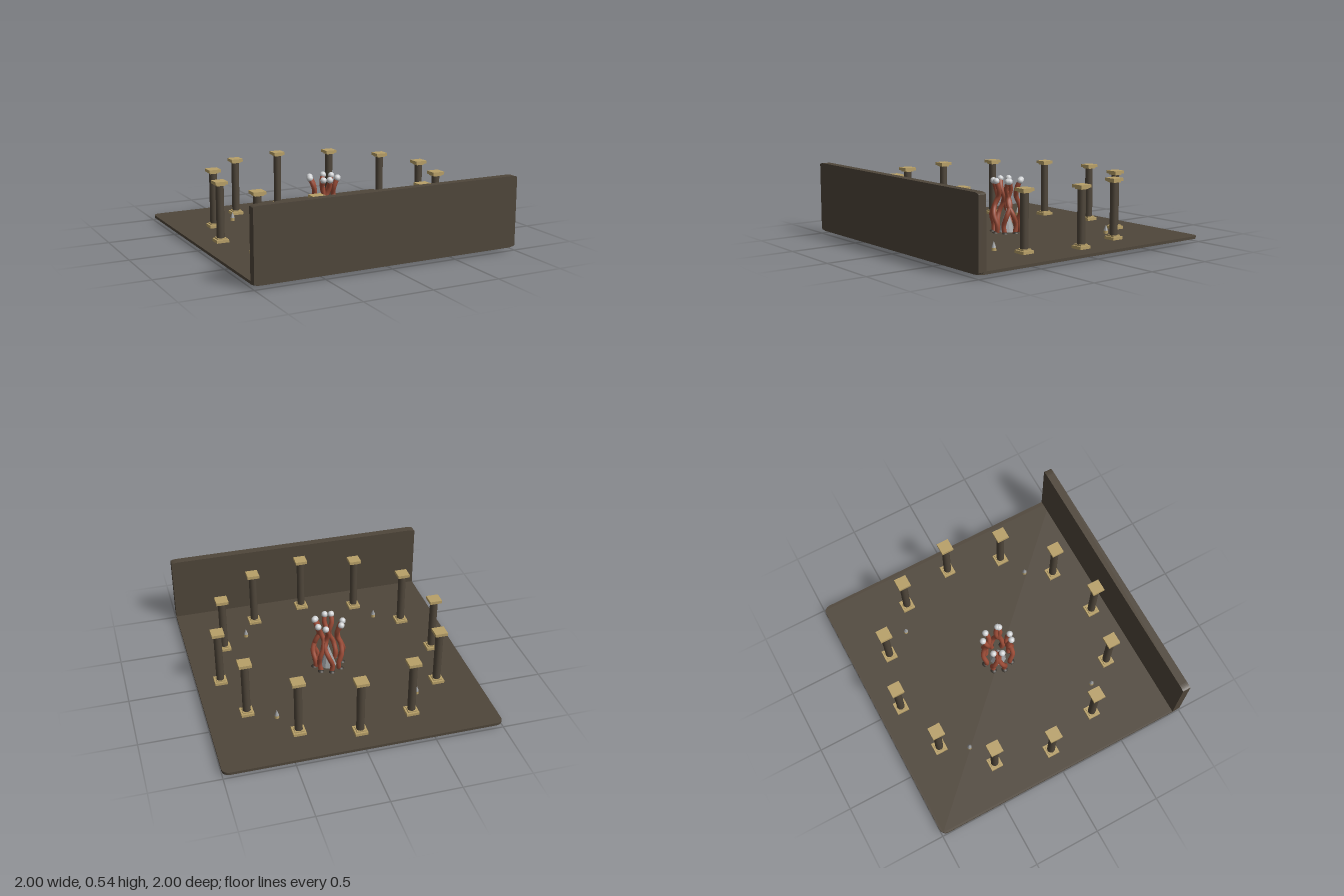
import * as THREE from 'three';

export function createModel() {
  const root = new THREE.Group();
  root.name = 'columnCourt';
  const mat = (name, color, flat = false) => {
    const m = new THREE.MeshStandardMaterial({ color, flatShading: flat });
    m.name = name;
    return m;
  };
  const stone = mat('darkStone', 0x4f463a);
  const gold = mat('paleGold', 0xb8a068);
  const rust = mat('rust', 0x9c4c37);
  const pearl = mat('pearl', 0xd0d2d4);
  const crystal = mat('greyCrystal', 0x9a9c9e, true);
  const dark = mat('darkFoot', 0x38332d);

  const add = (parent, name, geo, material, x = 0, y = 0, z = 0) => {
    const m = new THREE.Mesh(geo, material);
    m.name = name;
    m.position.set(x, y, z);
    parent.add(m);
    return m;
  };

  // Slab with elliptical corners, centred in its plane and extruded along z
  const slab = (w, h, depth, rx, ry) => {
    const s = new THREE.Shape();
    const a = w / 2 - rx, b = h / 2 - ry, q = Math.PI / 2;
    [[a, b], [-a, b], [-a, -b], [a, -b]].forEach(([x, y], i) =>
      s.absellipse(x, y, rx, ry, i * q, (i + 1) * q, false, 0));
    s.closePath();
    return new THREE.ExtrudeGeometry(s, { depth, bevelEnabled: false, curveSegments: 4 });
  };

  // Floor and front wall
  add(root, 'floor', slab(2, 2, 0.02, 0.05, 0.05), stone, 0, 0.045, 0).rotation.x = Math.PI / 2;
  add(root, 'frontWall', slab(2, 0.513, 0.06, 0.05, 0.013), stone, 0, 0.2835, 0.94);

  // Ring of twelve columns with square bases and caps
  const plate = new THREE.BoxGeometry(0.092, 0.022, 0.092);
  const neck = new THREE.BoxGeometry(0.066, 0.012, 0.066);
  const shaft = new THREE.CylinderGeometry(0.029, 0.029, 0.41, 16);
  for (let i = 0; i < 12; i++) {
    const a = (i * Math.PI) / 6;
    const col = new THREE.Group();
    col.name = 'column' + (i + 1);
    col.position.set(0.823 * Math.cos(a), 0, 0.823 * Math.sin(a) - 0.006);
    add(col, 'base', plate, gold, 0, 0.055, 0);
    add(col, 'baseNeck', neck, gold, 0, 0.07, 0);
    add(col, 'shaft', shaft, stone, 0, 0.265, 0);
    add(col, 'capNeck', neck, gold, 0, 0.462, 0);
    add(col, 'cap', plate, gold, 0, 0.477, 0);
    root.add(col);
  }

  // Four small spikes on gold sockets
  for (const x of [-0.52, 0.52]) for (const z of [-0.525, 0.515]) {
    const spike = new THREE.Group();
    spike.name = 'cornerSpike';
    spike.position.set(x, 0, z);
    add(spike, 'socket', new THREE.CylinderGeometry(0.016, 0.018, 0.047, 8), gold, 0, 0.0465, 0);
    add(spike, 'point', new THREE.ConeGeometry(0.017, 0.045, 8), crystal, 0, 0.09, 0);
    root.add(spike);
  }

  // Central crystal ringed by eight wavy strands with pearl tips
  const centre = new THREE.Group();
  centre.name = 'centrepiece';
  centre.position.z = -0.005;
  root.add(centre);
  add(centre, 'crystalCone', new THREE.ConeGeometry(0.062, 0.18, 10), crystal, 0, 0.135, 0);

  const foot = new THREE.SphereGeometry(0.029, 14, 10);
  const tip = new THREE.SphereGeometry(0.024, 16, 12);
  const tipAngles = [27, 34, 90, 118, 191, 225, 294, 329];
  const tipRadii = [0.102, 0.1, 0.098, 0.1, 0.106, 0.11, 0.108, 0.105];
  const levels = [0.03, 0.1, 0.18, 0.25, 0.31, 0.37, 0.43];
  const radii = [0.095, 0.1, 0.113, 0.095, 0.07, 0.08];
  const sway = [0, -8, 4, 16, 10, -4, 0];
  tipAngles.forEach((end, i) => {
    const start = i * 45;
    const path = levels.map((y, k) => {
      const swing = sway[k] * (i % 2 ? -1 : 1);
      const a = THREE.MathUtils.degToRad(start + ((end - start) * k) / 6 + swing);
      const r = k < 6 ? radii[k] : tipRadii[i];
      return new THREE.Vector3(r * Math.cos(a), y, r * Math.sin(a));
    });
    const curve = new THREE.CatmullRomCurve3(path);
    add(centre, 'strand' + (i + 1), new THREE.TubeGeometry(curve, 36, 0.018, 10), rust);
    const b = THREE.MathUtils.degToRad(start);
    add(centre, 'foot' + (i + 1), foot, dark, 0.108 * Math.cos(b), 0.029, 0.108 * Math.sin(b));
    add(centre, 'pearlTip' + (i + 1), tip, pearl, path[6].x, path[6].y, path[6].z);
  });

  return root;
}
